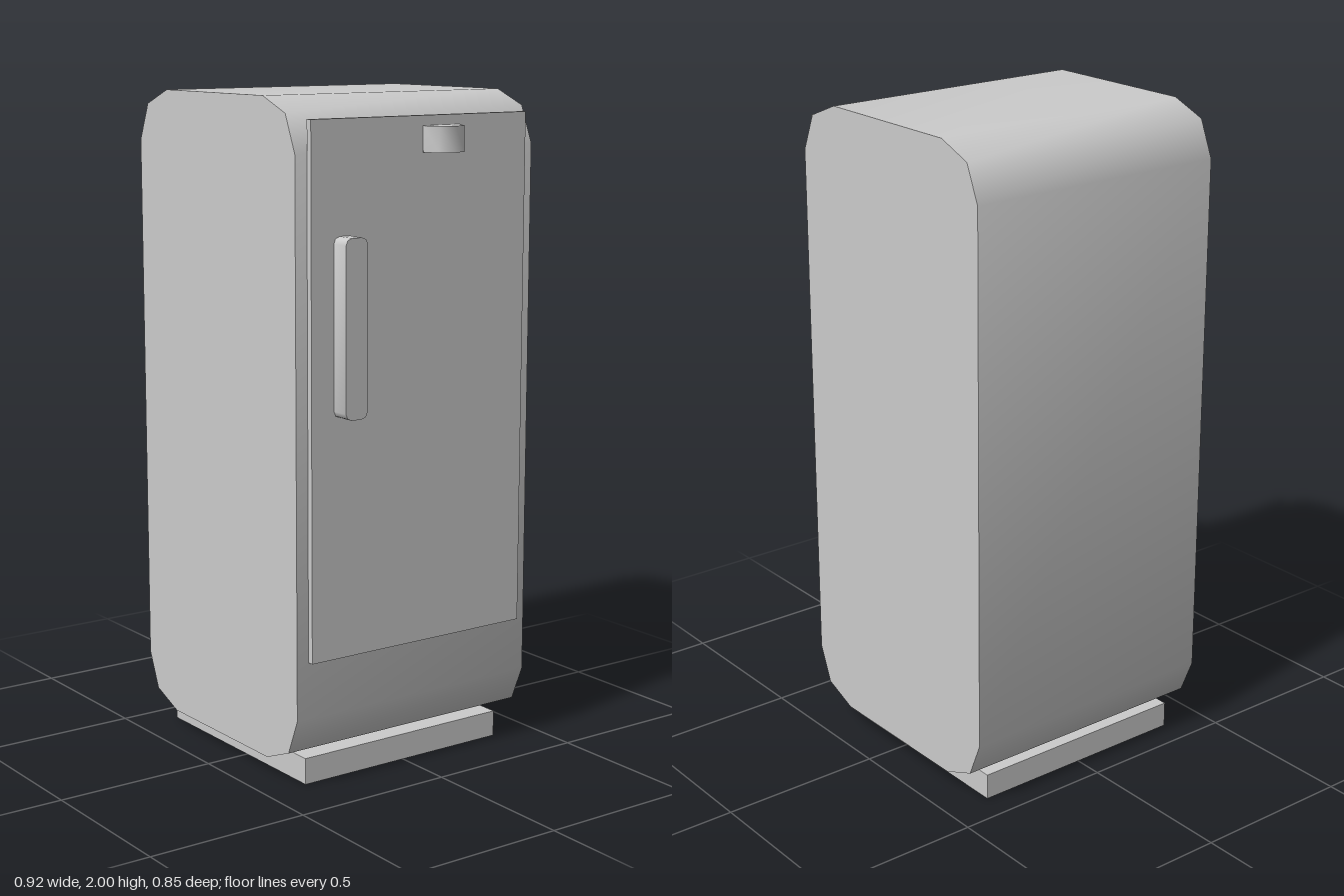
import * as THREE from 'three';
import { toCreasedNormals } from 'three/addons/utils/BufferGeometryUtils.js';

const material = new THREE.MeshStandardMaterial({ color: 0xcccccc });

function addPart(group, name, geometry) {
  const mesh = new THREE.Mesh(geometry, material);
  mesh.name = name;
  group.add(mesh);
}

// Box given by its lower and upper corners
function box([x0, y0, z0], [x1, y1, z1]) {
  return new THREE.BoxGeometry(x1 - x0, y1 - y0, z1 - z0)
    .translate((x0 + x1) / 2, (y0 + y1) / 2, (z0 + z1) / 2);
}

// Rectangle whose corners are cut in two facets: size rx by ry, bulge point at k
function facetedRect(x0, y0, x1, y1, rx, ry, k) {
  const cx = (x0 + x1) / 2, cy = (y0 + y1) / 2;
  const w = (x1 - x0) / 2, h = (y1 - y0) / 2;
  const corner = [[w, h - ry], [w - rx * k, h - ry * k], [w - rx, h]];
  const points = [];
  for (const [sx, sy] of [[1, 1], [-1, 1], [-1, -1], [1, -1]]) {
    const run = sx * sy > 0 ? corner : [...corner].reverse();
    for (const [x, y] of run) points.push(new THREE.Vector2(cx + sx * x, cy + sy * y));
  }
  return new THREE.Shape(points);
}

// Prism with smooth rounded corners and sharp end faces
function prism(shape, depth, crease = 0.95) {
  const geometry = new THREE.ExtrudeGeometry(shape, { depth, bevelEnabled: false });
  return toCreasedNormals(geometry, crease);
}

export function createModel() {
  const fridge = new THREE.Group();
  fridge.name = 'fridge';

  // Cabinet and plinth
  const cabinet = facetedRect(-0.46, 0.068, 0.365, 2, 0.157, 0.154, 0.29);
  addPart(fridge, 'cabinet', prism(cabinet, 0.85).translate(0, 0, -0.425));
  addPart(fridge, 'plinth', box([-0.41, 0, -0.357], [0.312, 0.08, 0.36]));

  // Door panel on the +x side
  addPart(fridge, 'door', box([0.365, 0.392, -0.385], [0.384, 1.94, 0.385]));

  // Upright handle, profile in the z-y plane, pushed out along +x
  const handle = facetedRect(-0.308, 1.102, -0.233, 1.615, 0.02, 0.02, 0.29);
  addPart(fridge, 'handle', prism(handle, 0.06).rotateY(Math.PI / 2).translate(0.382, 0, 0));

  // Faceted badge knob near the top of the door, flattened on its inner side
  const half = [[0.456, 0], [0.438, 0.046], [0.392, 0.065], [0.347, 0.046], [0.34, 0.032]];
  const outline = [...half, ...half.slice(1).reverse().map(([x, z]) => [x, -z])];
  const knob = new THREE.Shape(outline.map(([x, z]) => new THREE.Vector2(x, z)));
  addPart(fridge, 'knob', prism(knob, 0.075).rotateX(-Math.PI / 2).translate(0, 1.836, -0.065));

  return fridge;
}
